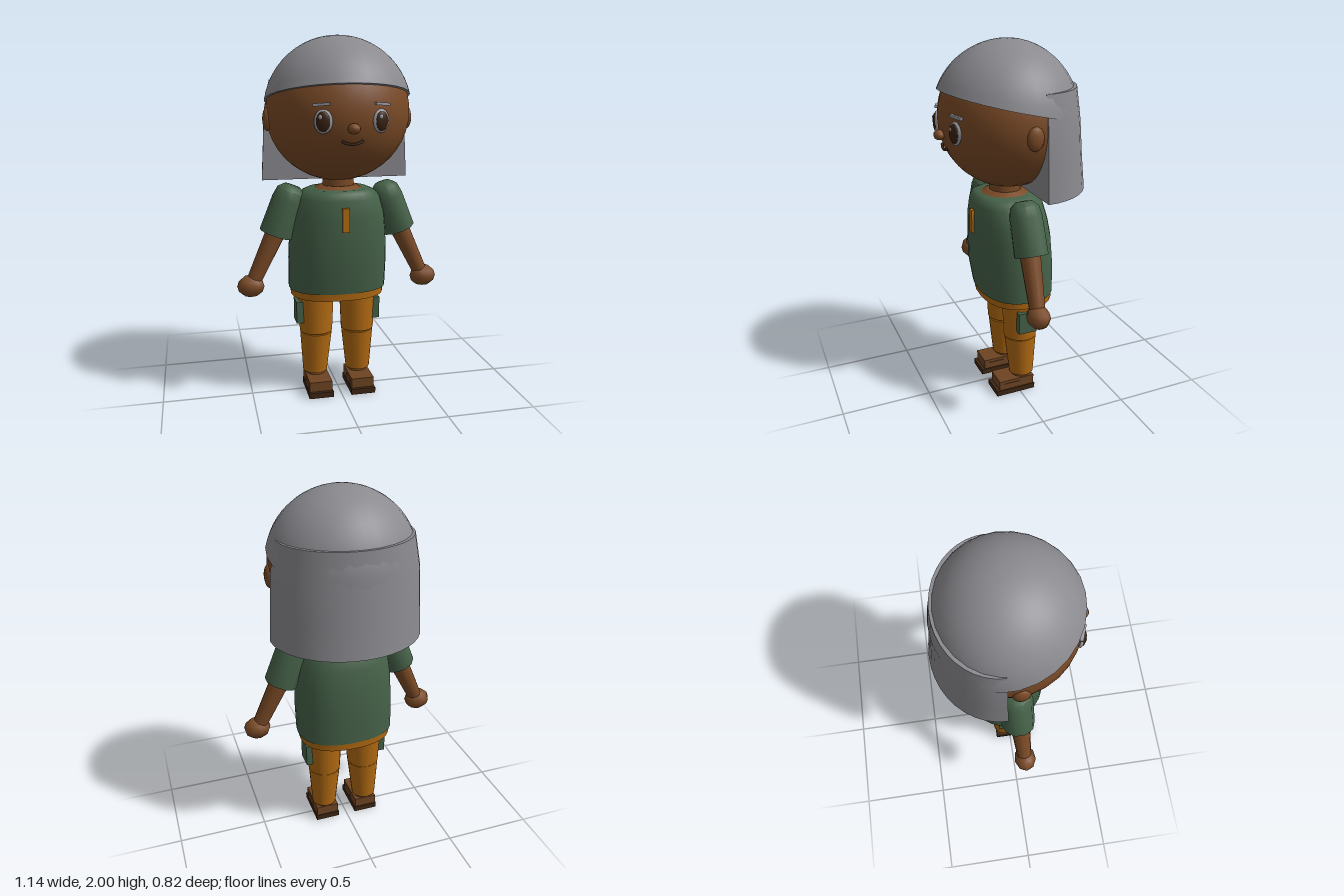
import * as THREE from 'three';
import { toCreasedNormals } from 'three/addons/utils/BufferGeometryUtils.js';

const mat = (name, color) => Object.assign(new THREE.MeshStandardMaterial({ color }), { name });

// Closed solid through rings of [x, y, z] points, listed bottom to top
function loft(rings, crease = 0.8) {
  const n = rings[0].length, pos = rings.flat(2), idx = [];
  const at = (j, i) => j * n + (i % n);
  for (let j = 0; j < rings.length - 1; j++)
    for (let i = 0; i < n; i++)
      idx.push(at(j, i), at(j + 1, i), at(j, i + 1), at(j, i + 1), at(j + 1, i), at(j + 1, i + 1));
  const last = rings.length - 1, c = rings.length * n;
  for (const j of [0, last])
    for (let k = 0; k < 3; k++) pos.push(rings[j].reduce((s, p) => s + p[k], 0) / n);
  for (let i = 0; i < n; i++) {
    idx.push(c, at(0, i), at(0, i + 1));
    idx.push(c + 1, at(last, i + 1), at(last, i));
  }
  const g = new THREE.BufferGeometry();
  g.setAttribute('position', new THREE.Float32BufferAttribute(pos, 3));
  g.setIndex(idx);
  return toCreasedNormals(g, crease);
}

// Rounded-box ring with half width rx, from zb (back) to zf (front)
function ovalRing([y, rx, zf, zb], n = 28, power = 0.85) {
  const f = (v) => Math.sign(v) * Math.abs(v) ** power;
  return Array.from({ length: n }, (_, i) => {
    const a = (i / n) * Math.PI * 2;
    return [f(Math.cos(a)) * rx, y, (zf + zb) / 2 + (f(Math.sin(a)) * (zf - zb)) / 2];
  });
}

export function createModel() {
  const skin = mat('skin', 0x7a4a26), hair = mat('hair', 0x8a8a8f), shirt = mat('shirt', 0x456148);
  const orange = mat('trousers', 0xb26a12), shoe = mat('shoe', 0x6e4423), sole = mat('sole', 0x3d2614);
  const dark = mat('iris and mouth', 0x3a210e), eyeGrey = mat('eye', 0x9a9ba3);

  const model = new THREE.Group();
  const add = (name, geo, material, x = 0, y = 0, z = 0, parent = model) => {
    const m = new THREE.Mesh(geo, material);
    m.name = name;
    m.position.set(x, y, z);
    parent.add(m);
    return m;
  };
  const ball = (name, material, p, s, seg = 20, parent = model) => {
    const m = add(name, new THREE.SphereGeometry(1, seg, Math.round(seg * 0.7)), material, ...p, parent);
    m.scale.set(...s);
    return m;
  };
  const box = (name, material, p, s) => add(name, new THREE.BoxGeometry(...s), material, ...p);
  // Straight round limb from point a (radius ra) down to point b (radius rb)
  const limb = (name, material, a, b, ra, rb, seg = 16) => {
    const A = new THREE.Vector3(...a), B = new THREE.Vector3(...b), d = A.clone().sub(B);
    const m = add(name, new THREE.CylinderGeometry(ra, rb, d.length(), seg), material, ...A.clone().add(B).multiplyScalar(0.5));
    m.quaternion.setFromUnitVectors(new THREE.Vector3(0, 1, 0), d.normalize());
    return m;
  };

  // Head and neck
  ball('head', skin, [0, 1.603, 0], [0.39, 0.374, 0.37], 32);
  limb('neck', skin, [0, 1.28, 0.015], [0, 1.16, 0.015], 0.085, 0.09);
  add('neckline', new THREE.CylinderGeometry(0.1, 0.14, 0.022, 20), skin, 0, 1.195, 0.015);
  ball('nose', skin, [0, 1.535, 0.379], [0.033, 0.027, 0.03], 12);
  const smile = new THREE.QuadraticBezierCurve3(
    new THREE.Vector3(-0.055, 1.473, 0.347), new THREE.Vector3(0, 1.44, 0.365), new THREE.Vector3(0.055, 1.473, 0.347));
  add('mouth', new THREE.TubeGeometry(smile, 12, 0.008, 6), dark);

  // Hair cap: sphere cut by a plane that rises toward the front
  const capRings = [], tilt = 0.222, cut = 0.185;
  for (let j = 0; j <= 12; j++)
    capRings.push(Array.from({ length: 28 }, (_, i) => {
      const a = (i / 28) * Math.PI * 2, k = tilt * Math.sin(a);
      const edge = Math.acos(cut / Math.hypot(1, k)) - Math.atan(k);
      const t = edge + (0.04 - edge) * (j / 12);
      const z = 0.4 * Math.sin(t) * Math.sin(a);
      return [0.402 * Math.sin(t) * Math.cos(a), 1.6 + 0.4 * Math.cos(t), z < 0 ? z * 0.935 : z];
    }));
  add('hairCap', loft(capRings), hair);

  // Long back hair: flared half column
  const drape = [[1.23, 0.412, 0.362], [1.42, 0.402, 0.34], [1.6, 0.394, 0.324], [1.77, 0.362, 0.304]];
  add('backHair', loft(drape.map(([y, rx, rz]) => Array.from({ length: 21 }, (_, i) => {
    const a = Math.PI * (1 + i / 20);
    return [Math.cos(a) * rx, y, -0.048 + Math.sin(a) * rz];
  }))), hair);

  // Shirt, hem and zip
  const torso = [[0.62, 0.275, 0.18, -0.232], [0.78, 0.276, 0.208, -0.235], [0.95, 0.269, 0.21, -0.22],
    [1.05, 0.258, 0.208, -0.2], [1.14, 0.23, 0.2, -0.175], [1.175, 0.2, 0.19, -0.145], [1.19, 0.165, 0.165, -0.125]];
  add('shirt', loft(torso.map((r) => ovalRing(r))), shirt);
  add('hem', loft([[0.578, 0.263, 0.17, -0.228], [0.625, 0.266, 0.174, -0.231]].map((r) => ovalRing(r))), orange);
  box('zip', orange, [0, 1.04, 0.207], [0.038, 0.13, 0.024]);

  for (const s of [-1, 1]) {
    // Eye, brow and ear
    const eye = new THREE.Group();
    eye.name = 'eye';
    eye.position.set(s * 0.147, 1.57, 0.342);
    eye.rotation.y = s * 0.3;
    model.add(eye);
    ball('eyeRim', eyeGrey, [0, 0, 0], [0.047, 0.06, 0.016], 20, eye);
    ball('iris', dark, [0, 0, 0.008], [0.036, 0.05, 0.015], 20, eye);
    ball('glint', eyeGrey, [-0.012, 0.022, 0.02], [0.01, 0.012, 0.005], 10, eye);
    const brow = box('brow', eyeGrey, [s * 0.153, 1.653, 0.335], [0.085, 0.014, 0.025]);
    brow.rotation.set(0, s * 0.35, s * -0.08);
    ball('ear', skin, [s * 0.385, 1.565, 0.017], [0.025, 0.062, 0.045], 14);

    // Arm with short sleeve
    const profile = [[0, 0], [0.092, 0], [0.088, 0.2], [0.078, 0.255], [0.045, 0.285], [0, 0.288]];
    const lathe = new THREE.LatheGeometry(profile.map((p) => new THREE.Vector2(...p)), 10);
    const sleeve = add('sleeve', toCreasedNormals(lathe, 0.8), shirt, s * 0.352, 0.94, 0.017);
    sleeve.rotation.z = s * 0.36;
    limb('arm', skin, [s * 0.31, 1.04, 0.02], [s * 0.482, 0.68, 0.038], 0.06, 0.041, 12);
    ball('hand', skin, [s * 0.495, 0.66, 0.04], [0.076, 0.062, 0.062], 9);

    // Trouser leg, knee seam and side pocket
    limb('thigh', orange, [s * 0.122, 0.6, -0.027], [s * 0.122, 0.352, -0.025], 0.105, 0.094, 20);
    limb('knee', orange, [s * 0.122, 0.36, -0.032], [s * 0.122, 0.33, -0.032], 0.085, 0.085, 20);
    limb('shin', orange, [s * 0.122, 0.345, -0.027], [s * 0.128, 0.105, -0.032], 0.092, 0.07, 20);
    box('pocket', shirt, [s * 0.22, 0.477, -0.022], [0.044, 0.125, 0.106]);

    // Shoe
    limb('ankle', skin, [s * 0.125, 0.12, -0.03], [s * 0.125, 0.08, -0.03], 0.056, 0.056);
    box('shoeUpper', shoe, [s * 0.122, 0.058, 0.02], [0.13, 0.06, 0.212]);
    box('shoeStrap', shoe, [s * 0.122, 0.055, 0.05], [0.138, 0.032, 0.1]);
    box('sole', sole, [s * 0.122, 0.016, 0.027], [0.14, 0.032, 0.236]);
  }
  return model;
}
